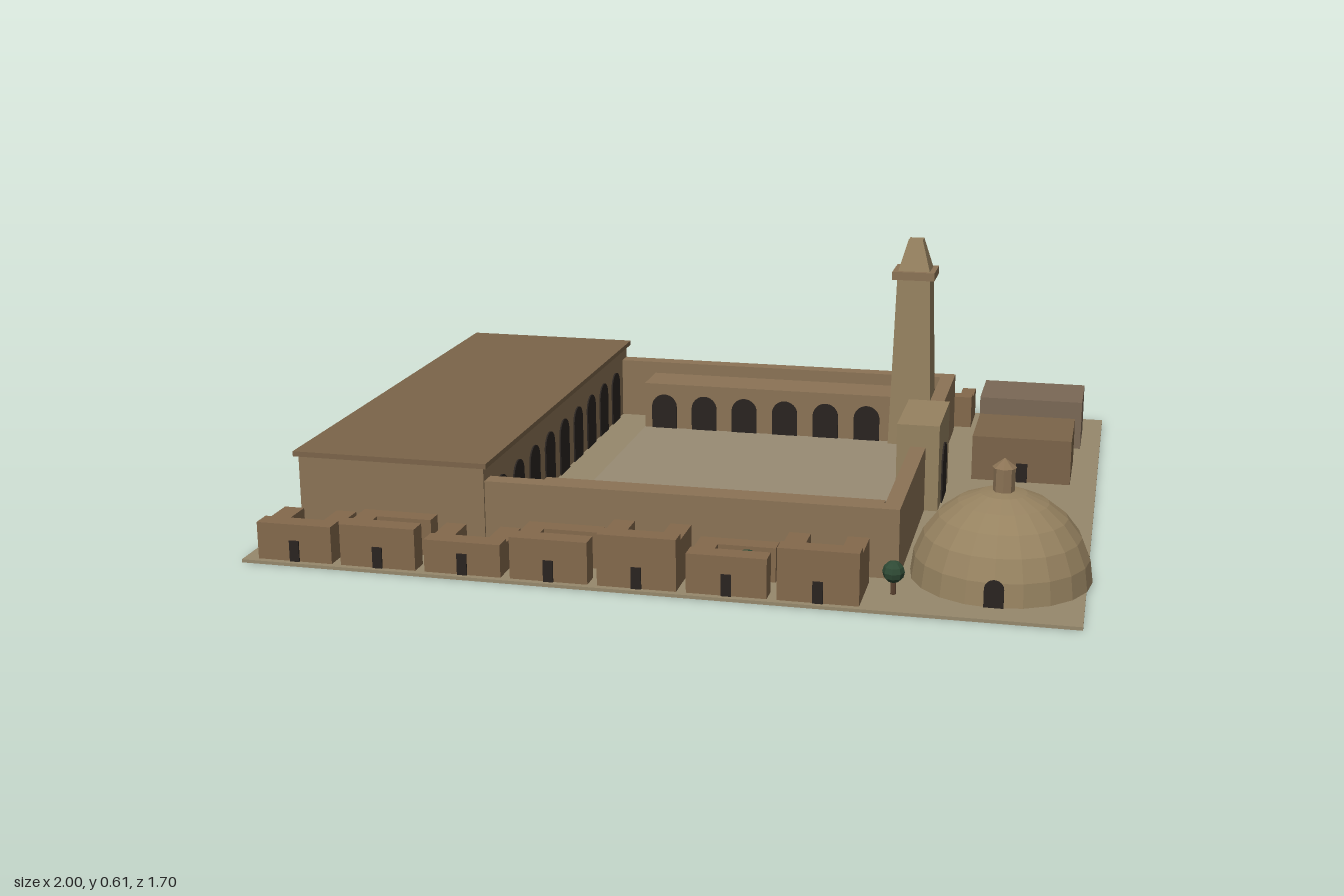
import * as THREE from 'three';

const mat = (color) => new THREE.MeshStandardMaterial({ color, flatShading: true });

export function createModel() {
  const root = new THREE.Group();
  const M = {
    ground: mat(0x96886c), court: mat(0x988b74), wall: mat(0x8b7355), roof: mat(0x7b6449),
    stone: mat(0x968260), house: mat(0x84694c), grey: mat(0x7a6855), dark: mat(0x2a2420),
    leaf: mat(0x2f4a35), trunk: mat(0x5a4230),
  };
  const G = 0.008; // top of the ground slab

  const add = (name, geo, material, parent = root) => {
    const mesh = new THREE.Mesh(geo, material);
    mesh.name = name;
    parent.add(mesh);
    return mesh;
  };
  // box given by its limits on each axis
  const box = (name, x0, x1, y0, y1, z0, z1, material, parent) => {
    const m = add(name, new THREE.BoxGeometry(x1 - x0, y1 - y0, z1 - z0), material, parent);
    m.position.set((x0 + x1) / 2, (y0 + y1) / 2, (z0 + z1) / 2);
    return m;
  };
  // dark round-headed opening standing on the ground, turned about y
  const arch = (name, x, z, w, h, turn, parent) => {
    const r = w / 2;
    const s = new THREE.Shape();
    s.moveTo(-r, 0);
    s.lineTo(r, 0);
    s.lineTo(r, h - r);
    s.absarc(0, h - r, r, 0, Math.PI, false);
    s.closePath();
    const geo = new THREE.ExtrudeGeometry(s, { depth: 0.004, bevelEnabled: false, curveSegments: 10 });
    const m = add(name, geo, M.dark, parent);
    m.position.set(x, G, z);
    m.rotation.y = turn;
    return m;
  };
  // four-sided tapering block, given by half widths
  const taper = (name, x, z, y0, y1, half0, half1, material, parent) => {
    const geo = new THREE.CylinderGeometry(half1 * Math.SQRT2, half0 * Math.SQRT2, y1 - y0, 4);
    geo.rotateY(Math.PI / 4);
    const m = add(name, geo, material, parent);
    m.position.set(x, (y0 + y1) / 2, z);
    return m;
  };

  // ground and courtyard floor
  box('ground', -1, 0.985, 0, G, -0.85, 0.845, M.ground);
  box('courtyardFloor', -0.35, 0.515, G, 0.011, -0.6, 0.6, M.court);

  // enclosure walls
  const walls = new THREE.Group();
  walls.name = 'enclosureWalls';
  root.add(walls);
  box('backWall', -0.91, 0.555, G, 0.178, -0.65, -0.605, M.wall, walls);
  box('frontWall', -0.91, 0.555, G, 0.178, 0.595, 0.64, M.wall, walls);
  box('sideWall', 0.515, 0.555, G, 0.178, -0.605, 0.595, M.wall, walls);

  // hall with overhanging roof and a row of arches to the courtyard
  const hall = new THREE.Group();
  hall.name = 'hall';
  root.add(hall);
  box('hallBody', -0.935, -0.455, G, 0.213, -0.65, 0.645, M.wall, hall);
  box('hallRoof', -0.945, -0.445, 0.213, 0.226, -0.665, 0.655, M.roof, hall);
  for (let i = 0; i < 9; i++) arch('hallArch', -0.455, -0.52 + i * 0.13, 0.08, 0.15, Math.PI / 2, hall);

  // annex behind the hall
  box('annex', -0.895, -0.49, G, 0.117, -0.815, -0.65, M.grey);

  // arcades along the front and back of the courtyard
  for (const side of [-1, 1]) {
    const arcade = new THREE.Group();
    arcade.name = side < 0 ? 'backArcade' : 'frontArcade';
    root.add(arcade);
    const inner = side * 0.475;
    box('arcadeBody', -0.35, 0.5, G, 0.145, Math.min(inner, side * 0.602), Math.max(inner, side * 0.602), M.wall, arcade);
    for (let i = 0; i < 7; i++)
      arch('arcadeArch', -0.29 + i * 0.1214, inner, 0.075, 0.105, side < 0 ? 0 : Math.PI, arcade);
  }

  // gatehouse with arches on both sides
  const gate = new THREE.Group();
  gate.name = 'gatehouse';
  root.add(gate);
  box('gateBlock', 0.48, 0.59, G, 0.236, -0.125, 0.125, M.stone, gate);
  arch('outerGate', 0.59, 0.002, 0.1, 0.15, Math.PI / 2, gate);
  arch('innerGate', 0.48, 0.002, 0.1, 0.15, -Math.PI / 2, gate);

  // square tapering tower
  const tower = new THREE.Group();
  tower.name = 'tower';
  root.add(tower);
  const tx = 0.445, tz = -0.513;
  taper('towerShaft', tx, tz, G, 0.495, 0.062, 0.047, M.stone, tower);
  taper('towerBalcony', tx, tz, 0.495, 0.518, 0.06, 0.06, M.wall, tower);
  taper('towerCap', tx, tz, 0.518, 0.605, 0.045, 0.02, M.stone, tower);

  // domed building
  const dome = new THREE.Group();
  dome.name = 'domedBuilding';
  dome.position.set(0.785, 0, 0.562);
  root.add(dome);
  const shell = add('dome', new THREE.SphereGeometry(0.212, 20, 6, 0, Math.PI * 2, 0, Math.PI / 2), M.stone, dome);
  shell.position.y = G;
  add('domeLantern', new THREE.CylinderGeometry(0.025, 0.025, 0.065, 8), M.wall, dome).position.y = 0.242;
  add('domeLanternCap', new THREE.ConeGeometry(0.029, 0.022, 8), M.wall, dome).position.y = 0.285;
  arch('domeDoor', 0, 0.208, 0.045, 0.065, 0, dome);

  // two plain outbuildings
  box('outbuilding', 0.64, 0.93, G, 0.145, -0.73, -0.527, M.grey);
  box('outbuilding', 0.65, 0.915, G, 0.13, -0.405, -0.173, M.roof);
  box('outbuildingDoor', 0.77, 0.8, G, 0.06, -0.175, -0.169, M.dark);

  // rows of small houses: a front bar with a door, and wings round a yard
  const house = (x, w, h, zDoor, zInner, zBack, winged) => {
    const g = new THREE.Group();
    g.name = 'house';
    root.add(g);
    const arm = w * 0.27, low = G + (h - G) * 0.88;
    const block = (name, a, b, y, z0, z1) => box(name, x + a, x + b, G, y, z0, z1, M.house, g);
    block('houseFront', 0, w, h, zInner, zDoor);
    block('houseWing', 0, arm, low, zBack, zInner);
    if (winged) block('houseWing', w - arm, w, low, zBack, zInner);
    else block('houseBack', arm, w, low, zBack, zBack + 0.045);
    box('houseDoor', x + w / 2 - 0.012, x + w / 2 + 0.012, G, 0.06, zDoor - 0.005, zDoor + 0.004, M.dark, g);
  };
  [0.1, 0.11, 0.088, 0.11, 0.133, 0.103, 0.133].forEach((h, i) =>
    house(-0.963 + i * 0.211, 0.188, h, 0.83, 0.782, 0.677, i % 2 === 0));
  for (let i = 0; i < 10; i++)
    house(-0.965 + i * 0.158, 0.145, 0.1 + 0.01 * ((i * 2) % 3), -0.685, -0.73, -0.835, i % 2 === 1);

  // small trees
  for (const x of [0.215, 0.385, 0.555]) {
    const tree = new THREE.Group();
    tree.name = 'tree';
    tree.position.set(x, G, 0.735);
    root.add(tree);
    add('treeTrunk', new THREE.CylinderGeometry(0.006, 0.007, 0.04, 6), M.trunk, tree).position.y = 0.02;
    add('treeCrown', new THREE.SphereGeometry(0.026, 8, 6), M.leaf, tree).position.y = 0.054;
  }
  return root;
}
